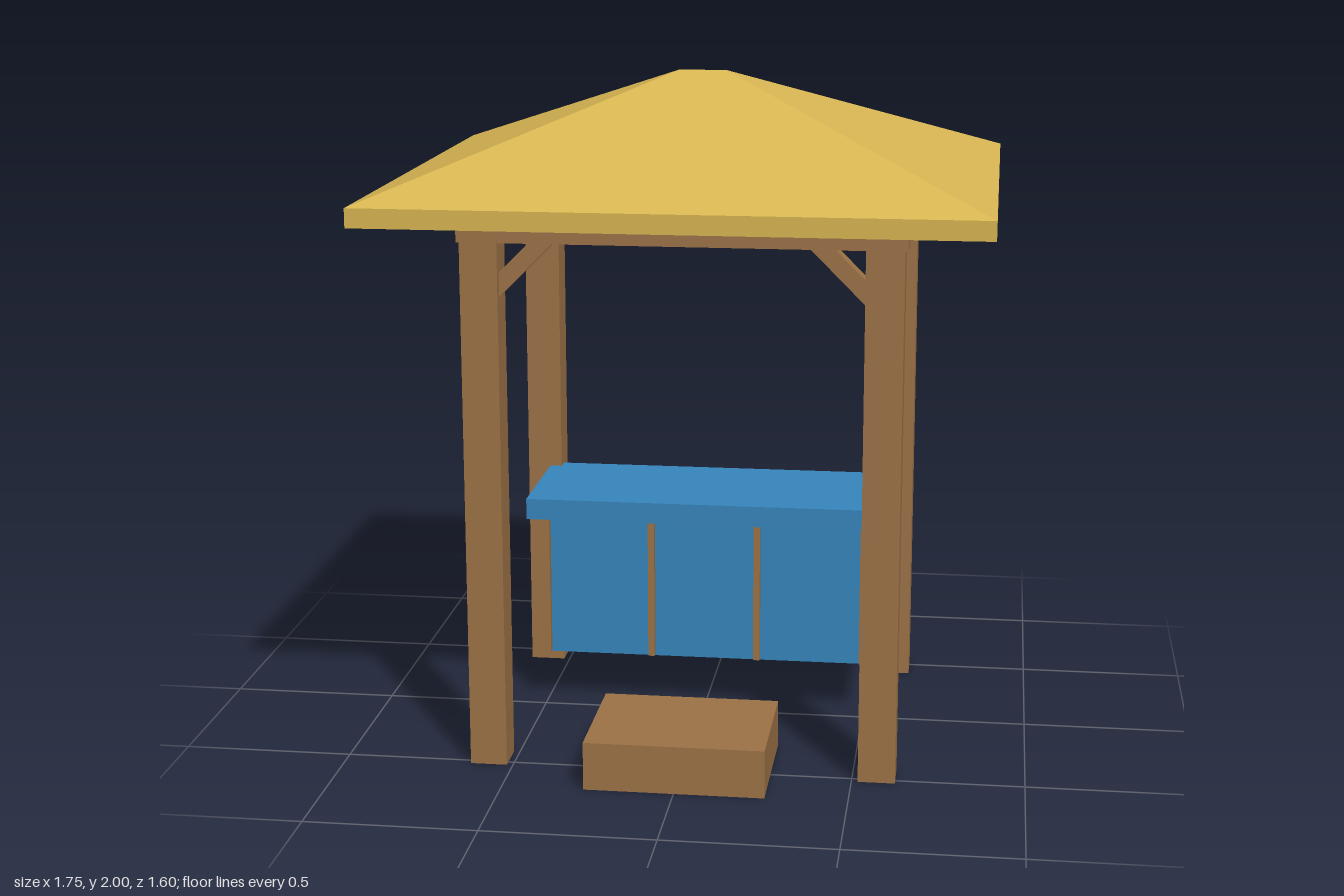
import * as THREE from 'three';

const material = (name, color) => {
  const m = new THREE.MeshStandardMaterial({ color });
  m.name = name;
  return m;
};

// Box given by its extents along each axis
function box(name, mat, [x0, x1], [y0, y1], [z0, z1]) {
  const mesh = new THREE.Mesh(new THREE.BoxGeometry(x1 - x0, y1 - y0, z1 - z0), mat);
  mesh.position.set((x0 + x1) / 2, (y0 + y1) / 2, (z0 + z1) / 2);
  mesh.name = name;
  return mesh;
}

// Hip roof: a box pinched to a short ridge at the top
function hipRoof(mat) {
  const geo = new THREE.BoxGeometry(1.75, 0.305, 1.6).toNonIndexed();
  const p = geo.attributes.position;
  for (let i = 0; i < p.count; i++) {
    if (p.getY(i) > 0) {
      p.setX(i, Math.sign(p.getX(i)) * 0.07);
      p.setZ(i, Math.sign(p.getZ(i)) * 0.002);
    }
  }
  geo.computeVertexNormals();
  const mesh = new THREE.Mesh(geo, mat);
  mesh.position.y = 1.695 + 0.305 / 2;
  mesh.name = 'hipRoof';
  return mesh;
}

// Diagonal brace between a post and its beam
function brace(mat, sx, sz) {
  const shape = new THREE.Shape([
    [0.53, 1.39], [0.53, 1.46], [0.42, 1.57], [0.35, 1.57],
  ].map(([x, y]) => new THREE.Vector2(x, y)));
  const geo = new THREE.ExtrudeGeometry(shape, { depth: 0.06, bevelEnabled: false });
  geo.translate(0, 0, -0.03);
  const mesh = new THREE.Mesh(geo, mat);
  if (sx < 0) mesh.rotation.y = Math.PI;
  mesh.position.z = sz * 0.468;
  mesh.name = 'brace';
  return mesh;
}

export function createModel() {
  const wood = material('brown wood', 0x9d7347);
  const straw = material('straw yellow', 0xd8b652);
  const paint = material('blue paint', 0x3786bd);
  const model = new THREE.Group();
  model.name = 'gazeboBar';

  // Roof
  const roof = new THREE.Group();
  roof.name = 'roof';
  roof.add(box('eaveSlab', straw, [-0.875, 0.875], [1.64, 1.695], [-0.8, 0.8]), hipRoof(straw));
  model.add(roof);

  // Timber frame
  const frame = new THREE.Group();
  frame.name = 'frame';
  const span = (s, a, b) => (s > 0 ? [a, b] : [-b, -a]);
  for (const s of [-1, 1]) {
    frame.add(box('longBeam', wood, [-0.635, 0.635], [1.56, 1.64], span(s, 0.417, 0.521)));
    frame.add(box('sideBeam', wood, span(s, 0.525, 0.625), [1.56, 1.64], [-0.417, 0.417]));
    for (const t of [-1, 1]) {
      frame.add(box('post', wood, span(s, 0.518, 0.626), [0, 1.64], span(t, 0.415, 0.522)));
      frame.add(brace(wood, s, t));
    }
  }
  model.add(frame);

  // Counter with trim slats
  const counter = new THREE.Group();
  counter.name = 'counter';
  counter.add(
    box('counterBody', paint, [-0.508, 0.508], [0.16, 0.6], [-0.437, -0.04]),
    box('counterTop', paint, [-0.555, 0.555], [0.6, 0.665], [-0.457, -0.01]),
  );
  for (const x of [-0.495, -0.165, 0.165, 0.495]) {
    counter.add(box('slat', wood, [x - 0.01, x + 0.01], [0.165, 0.6], [-0.04, -0.018]));
  }
  model.add(counter);

  // Front step
  model.add(box('step', wood, [-0.262, 0.262], [0, 0.143], [0.272, 0.678]));
  return model;
}
